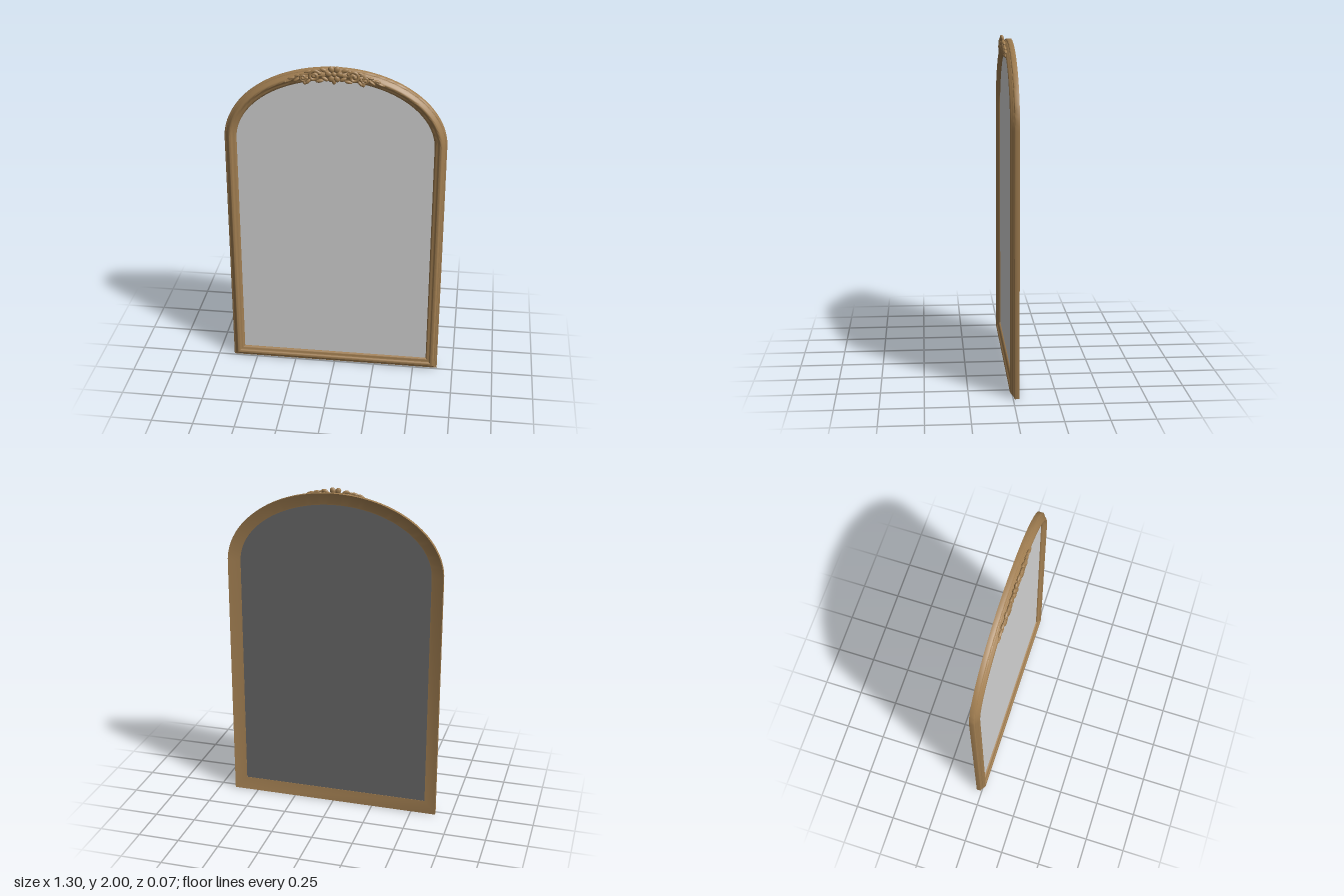
import * as THREE from 'three';
import { toCreasedNormals } from 'three/addons/utils/BufferGeometryUtils.js';

const HALF_W = 0.652, SPRING = 1.52, RISE = 0.457, ARC = 72;

// Arched outline, counter-clockwise, inset by d from the outer edge
function outline(d) {
  const pts = [new THREE.Vector2(-HALF_W + d, d), new THREE.Vector2(HALF_W - d, d)];
  for (let i = 0; i <= ARC; i++) {
    const a = (i / ARC) * Math.PI;
    pts.push(new THREE.Vector2((HALF_W - d) * Math.cos(a), SPRING + (RISE - d) * Math.sin(a)));
  }
  return pts;
}

// Sweep a closed moulding profile of [inset, z] points around the outline
function sweepFrame(profile) {
  const pos = [], index = [], n = ARC + 3, m = profile.length;
  for (const [d, z] of profile) for (const p of outline(d)) pos.push(p.x, p.y, z);
  for (let k = 0; k < m; k++) {
    for (let i = 0; i < n; i++) {
      const a = k * n + i, b = k * n + (i + 1) % n;
      const c = ((k + 1) % m) * n + (i + 1) % n, d = ((k + 1) % m) * n + i;
      index.push(a, b, c, a, c, d);
    }
  }
  const g = new THREE.BufferGeometry();
  g.setAttribute('position', new THREE.Float32BufferAttribute(pos, 3));
  g.setIndex(index);
  return toCreasedNormals(g, 0.85);
}

export function createModel() {
  const model = new THREE.Group();
  model.name = 'archedMirror';
  const wood = new THREE.MeshStandardMaterial({ color: 0xa17e51 });
  wood.name = 'antique gold';
  const glass = new THREE.MeshStandardMaterial({ color: 0xd4d4d4 });
  glass.name = 'mirror silver';
  const backing = new THREE.MeshStandardMaterial({ color: 0x6b6b6b });
  backing.name = 'backing grey';

  const add = (parent, name, geometry, material, x = 0, y = 0, z = 0) => {
    const mesh = new THREE.Mesh(geometry, material);
    mesh.name = name;
    mesh.position.set(x, y, z);
    parent.add(mesh);
    return mesh;
  };

  // Moulded frame: stepped outer edge, rounded crown, inner bead, sloping back
  add(model, 'frame', sweepFrame([
    [0, -0.035], [0, -0.010], [0.003, -0.006], [0.010, -0.005], [0.013, 0.001],
    [0.020, 0.005], [0.023, 0.010], [0.027, 0.014], [0.033, 0.017], [0.040, 0.016],
    [0.045, 0.012], [0.049, 0.007], [0.056, 0.005], [0.061, 0.004], [0.066, 0.001],
    [0.072, -0.006], [0.072, -0.013], [0.066, -0.014],
  ]), wood);

  // Mirror pane and backing sheet
  const pane = new THREE.ShapeGeometry(new THREE.Shape(outline(0.071)));
  add(model, 'mirrorPane', pane, glass, 0, 0, -0.008);
  add(model, 'backingSheet', pane, backing, 0, 0, -0.011).rotation.y = Math.PI;

  // Carved crest
  const crest = new THREE.Group();
  crest.name = 'crest';
  model.add(crest);
  const bead = new THREE.SphereGeometry(1, 16, 10);
  const lobe = (name, x, y, z, length, width, depth, angle) => {
    const mesh = add(crest, name, bead, wood, x, y, z);
    mesh.scale.set(length, width, depth);
    mesh.rotation.z = angle;
  };
  const tube = (name, points, radius) => {
    const curve = new THREE.CatmullRomCurve3(points);
    add(crest, name, new THREE.TubeGeometry(curve, 48, radius, 8), wood);
    for (const p of [points[0], points[points.length - 1]])
      lobe(name + 'End', p.x, p.y, p.z, radius * 1.25, radius * 1.25, radius * 1.1, 0);
  };
  const spiral = (name, side, cx, cy, r0, r1, start, turns, radius) => {
    const pts = [];
    for (let i = 0; i <= 20; i++) {
      const t = i / 20, r = r0 + (r1 - r0) * t, a = start + turns * t * Math.PI * 2;
      pts.push(new THREE.Vector3(side * (cx + r * Math.cos(a)), cy + r * Math.sin(a), 0.020 + 0.003 * t));
    }
    tube(name, pts, radius);
  };

  // Central rosette
  for (let i = 0; i < 6; i++) {
    const a = i * Math.PI / 3;
    lobe('petal', 0.032 * Math.cos(a), 1.952 + 0.032 * Math.sin(a), 0.020, 0.020, 0.017, 0.011, a);
  }
  lobe('rosetteHeart', 0, 1.952, 0.022, 0.015, 0.015, 0.011, 0);
  lobe('rosetteDrop', 0, 1.908, 0.018, 0.018, 0.012, 0.010, Math.PI / 2);

  // Scrolls and leaves, mirrored; leaves are [x, y, length, width, angle]
  const leaves = [
    [0.062, 1.974, 0.022, 0.012, 0.3], [0.052, 1.922, 0.022, 0.011, 0.5],
    [0.082, 1.908, 0.024, 0.010, -0.2], [0.150, 1.960, 0.022, 0.008, -0.3],
    [0.150, 1.900, 0.020, 0.009, -0.8], [0.168, 1.893, 0.012, 0.009, 1.2],
    [0.205, 1.935, 0.022, 0.008, -0.15], [0.215, 1.908, 0.022, 0.008, -0.6],
    [0.243, 1.918, 0.024, 0.008, -0.25], [0.262, 1.899, 0.026, 0.007, -0.4],
  ];
  for (const side of [1, -1]) {
    spiral('largeScroll', side, 0.112, 1.937, 0.034, 0.007, 2.6, -1.4, 0.009);
    spiral('smallScroll', side, 0.176, 1.925, 0.021, 0.006, 3.3, 1.3, 0.007);
    tube('stem', [[0.04, 1.962], [0.085, 1.972], [0.138, 1.952], [0.19, 1.942], [0.24, 1.912], [0.28, 1.893]]
      .map(([x, y], i) => new THREE.Vector3(side * x, y, 0.020 - i * 0.0008)), 0.006);
    for (const [x, y, length, width, angle] of leaves)
      lobe('leaf', side * x, y, 0.020 - x * 0.02, length, width, 0.009, side * angle);
  }
  return model;
}
